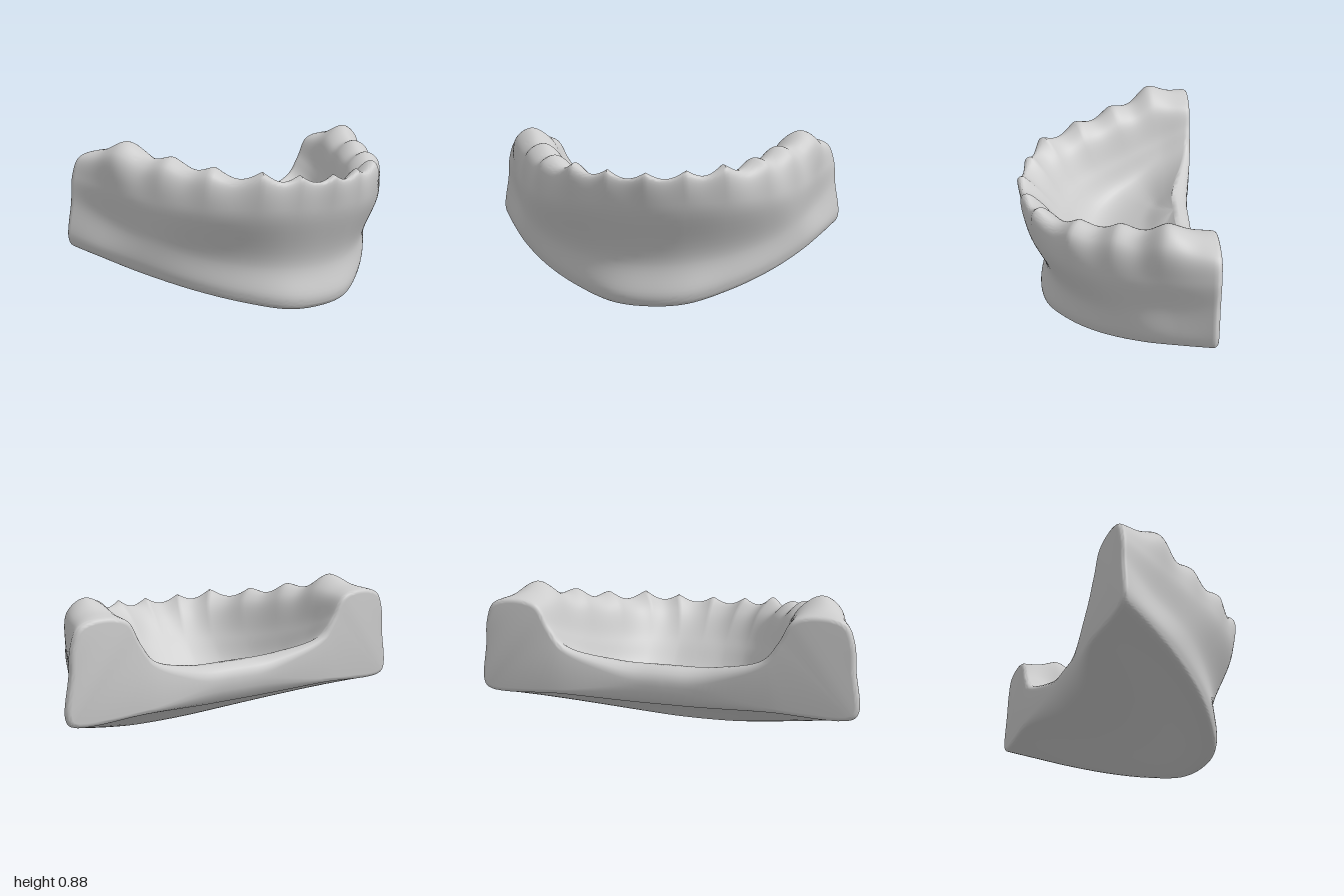
import * as THREE from 'three';
import { toCreasedNormals } from 'three/addons/utils/BufferGeometryUtils.js';

const V = (x, y, z) => new THREE.Vector3(x, y, z);
const smooth = THREE.MathUtils.smoothstep;
const STATIONS = 6;      // cusps from the middle of the arch to the back end
const STEPS = 14;        // columns per station
const ROWS = 104;        // points around each cross-section
const BACK = -0.465;     // where the rear rounding starts

// gently bowed, sloping underside
const baseY = z => 0.15 - 0.385 * z - 0.08 * z * z;

const HUB_BOTTOM = V(0, baseY(BACK), BACK);
const HUB_TOP = V(0, 0.525, BACK);

// Outline of the base, middle to back end (x, z)
const outline = [[0, 0.387], [0.2, 0.36], [0.42, 0.24], [0.62, 0.078], [0.8, -0.13], [0.92, -0.32], [1, BACK]];

// Half rails running along the arch, middle to back end
const waist = [[0, 0.22, 0.358], [0.2, 0.23, 0.335], [0.41, 0.26, 0.245], [0.61, 0.31, 0.1], [0.76, 0.38, -0.06], [0.875, 0.46, -0.28], [0.978, 0.55, BACK]];
const gum = [[0, 0.51, 0.458], [0.21, 0.52, 0.44], [0.41, 0.525, 0.37], [0.615, 0.54, 0.205], [0.755, 0.57, 0], [0.87, 0.62, -0.23], [0.967, 0.68, BACK]];
const crestOuter = [[0, 0.685, 0.49], [0.2, 0.69, 0.46], [0.4, 0.705, 0.395], [0.595, 0.71, 0.21], [0.725, 0.745, 0], [0.86, 0.8, -0.23], [0.925, 0.775, BACK]];
const crestTop = [[0, 0.7, 0.465], [0.2, 0.71, 0.43], [0.38, 0.735, 0.36], [0.53, 0.753, 0.17], [0.64, 0.795, -0.03], [0.77, 0.865, -0.25], [0.8, 0.805, BACK]];
const crestInner = [[0, 0.63, 0.39], [0.17, 0.64, 0.36], [0.32, 0.66, 0.29], [0.45, 0.69, 0.13], [0.56, 0.73, -0.07], [0.65, 0.79, -0.27], [0.67, 0.775, BACK]];
const innerWall = [[0, 0.47, 0.26], [0.14, 0.47, 0.245], [0.28, 0.48, 0.18], [0.41, 0.5, 0.04], [0.51, 0.54, -0.13], [0.58, 0.6, -0.31], [0.6, 0.66, BACK]];
const foot = [[0, 0.3, 0.09], [0.13, 0.305, 0.08], [0.26, 0.325, 0.03], [0.37, 0.36, -0.06], [0.45, 0.41, -0.19], [0.5, 0.49, -0.33], [0.52, 0.57, BACK]];

// Depth and softness of the scallop between neighbouring cusps
const dips = [0.035, 0.04, 0.045, 0.035, 0.05, 0.015];
const softness = [1, 1, 1.1, 1.4, 1.6, 1.8];

// Mirror a half rail into a smooth curve from the right end to the left end
function rail(half) {
  const right = half.slice(1).reverse().map(([x, y, z]) => V(-x, y, z));
  return new THREE.CatmullRomCurve3([...right, ...half.map(p => V(...p))]);
}

const underside = rail(outline.map(([x, z]) => [x * 0.97, baseY(z), z - 0.025 * (z - BACK) / 0.85]));
const baseEdge = rail(outline.map(([x, z]) => [x, baseY(z) + 0.045, z]));
const [waistRail, gumRail, outerRail, topRail, innerRail, wallRail, footRail] =
  [waist, gum, crestOuter, crestTop, crestInner, innerWall, foot].map(rail);

// Cross-section: out along the underside, up the front, over the ridge, back along the floor
function section(col) {
  const u = col / STEPS;                       // 0 .. 2 * STATIONS
  const t = u / (2 * STATIONS);
  const d = Math.abs(u - STATIONS);
  const seg = Math.min(STATIONS - 1, Math.floor(d));
  const dip = dips[seg] * Math.pow(Math.abs(Math.sin(Math.PI * (d - seg))), softness[seg]);
  const lowered = (curve, amount, pull) => {
    const p = curve.getPoint(t);
    p.addScaledVector(V(-p.x, 0, HUB_TOP.z - p.z).normalize(), pull * dip);
    p.y -= amount * dip;
    return p;
  };
  const under = underside.getPoint(t);
  const below = f => {
    const p = HUB_BOTTOM.clone().lerp(under, f);
    p.y = baseY(p.z);
    return p;
  };
  const floorEdge = footRail.getPoint(t);
  const floorMid = floorEdge.clone().lerp(HUB_TOP, 0.5);
  floorMid.y -= 0.05 - 0.03 * Math.pow(d / STATIONS, 4);
  const curve = new THREE.CatmullRomCurve3([
    HUB_BOTTOM, below(0.28), below(0.58), under, baseEdge.getPoint(t), waistRail.getPoint(t),
    gumRail.getPoint(t), lowered(outerRail, 0.8, 0.35), lowered(topRail, 1, 0), lowered(innerRail, 0.5, 0),
    wallRail.getPoint(t), floorEdge, floorMid, HUB_TOP,
  ]);
  return curve.getPoints(ROWS);
}

// 1 at the middle of the rear edge, 0 at the two arms
const middle = x => 1 - smooth(Math.abs(x), 0.1, 0.62);

// One ring of the rounded rear edge: a full lip in the middle, a small bevel on the arms
function rearRing(pts, side, angle) {
  return pts.map((p, j) => {
    const k = middle(p.x);
    const inset = (0.025 + (j < ROWS / 2 ? 0.09 : 0.05) * k) * (1 - Math.cos(angle));
    let nx = 0, ny = j === 0 ? 1 : -1;
    if (j > 0 && j < ROWS) {
      const tx = pts[j + 1].x - pts[j - 1].x, ty = pts[j + 1].y - pts[j - 1].y;
      const len = Math.hypot(tx, ty) || 1;
      nx = -ty / len * side;
      ny = tx / len * side;
    }
    return V(p.x + nx * inset, p.y + ny * inset, p.z - (0.025 + 0.065 * k) * Math.sin(angle));
  });
}

// Draw the middle of the rear edge forward along the slope of the plate
function hollowRear(p) {
  const shift = 0.115 * middle(p.x) * (1 - smooth(p.z, BACK, -0.1));
  p.z += shift;
  p.y -= 0.37 * shift;
}

function jawGeometry() {
  const cols = [];
  for (let c = 0; c <= 2 * STATIONS * STEPS; c++) cols.push(section(c));
  const first = cols[0], last = cols[cols.length - 1];
  for (let k = 1; k <= 5; k++) {
    cols.unshift(rearRing(first, -1, k * Math.PI / 10));
    cols.push(rearRing(last, 1, k * Math.PI / 10));
  }
  cols.flat().forEach(hollowRear);

  const pos = [];
  const tri = (a, b, c) => {
    const area = b.clone().sub(a).cross(c.clone().sub(a)).length();
    if (area > 1e-9) for (const p of [a, b, c]) pos.push(p.x, p.y, p.z);
  };
  const quad = (a, b, c, d) => {
    tri(a, b, c);
    tri(a, c, d);
  };
  // skin
  for (let i = 0; i < cols.length - 1; i++) {
    for (let j = 0; j < ROWS; j++) quad(cols[i][j], cols[i + 1][j], cols[i + 1][j + 1], cols[i][j + 1]);
  }
  // rear wall: strips from the lower half of each end ring to its upper half
  const right = cols[0], left = cols[cols.length - 1];
  for (let j = 0; j < ROWS / 2; j++) {
    const k = ROWS - j;
    quad(left[j], left[k], left[k - 1], left[j + 1]);
    quad(right[j], right[j + 1], right[k - 1], right[k]);
  }
  const geo = new THREE.BufferGeometry();
  geo.setAttribute('position', new THREE.Float32BufferAttribute(pos, 3));
  return toCreasedNormals(geo, 0.9);
}

export function createModel() {
  const group = new THREE.Group();
  group.name = 'lowerJawCast';
  const jaw = new THREE.Mesh(jawGeometry(), new THREE.MeshStandardMaterial({ color: 0xcccccc }));
  jaw.name = 'gumArchAndBase';
  group.add(jaw);
  return group;
}
